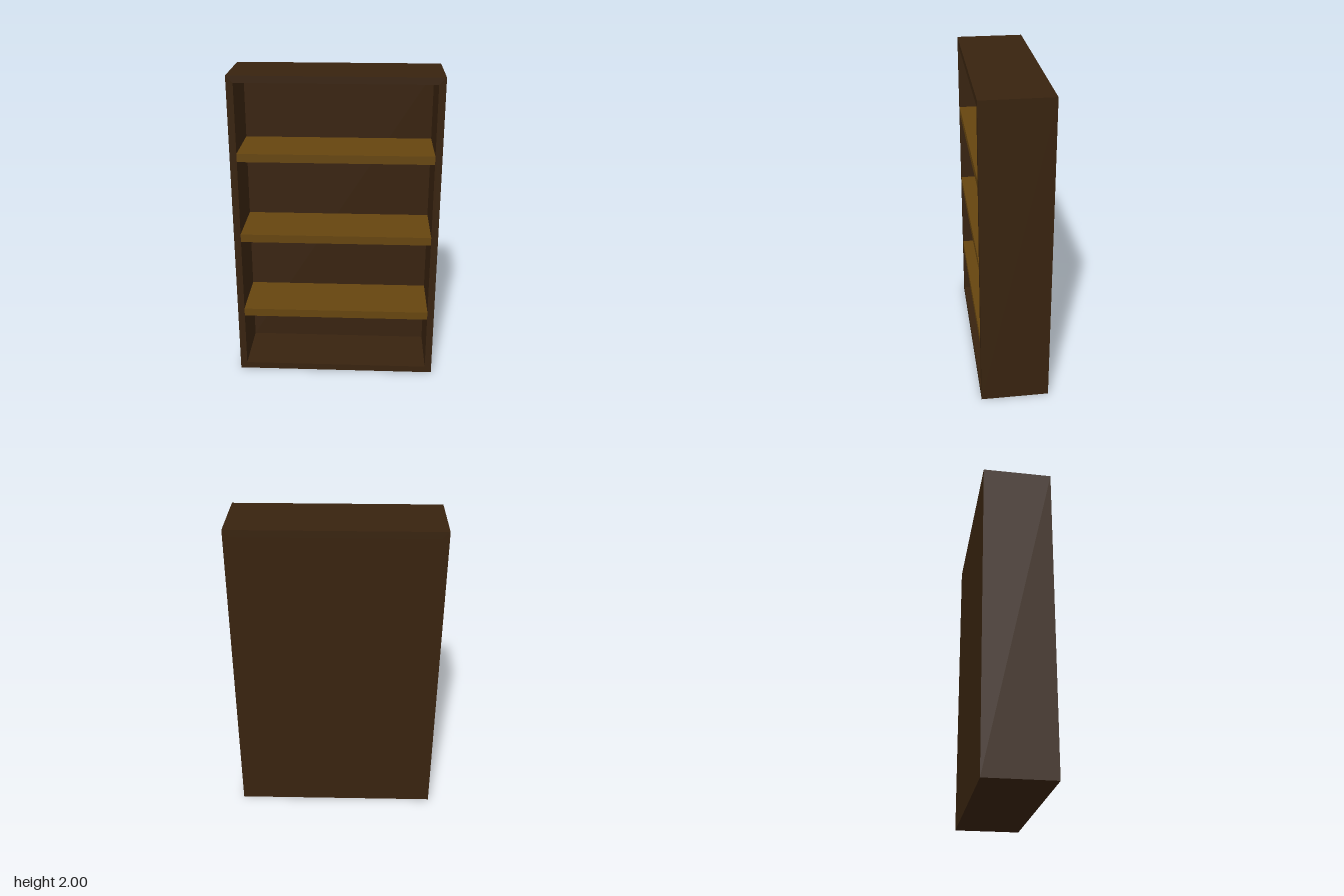
import * as THREE from 'three';

const W = 1.29, H = 2, D = 0.43, T = 0.043; // outer size and board thickness

export function createModel() {
  const model = new THREE.Group();
  model.name = 'bookcase';

  const darkWood = new THREE.MeshStandardMaterial({ color: 0x38230f });
  darkWood.name = 'darkWood';
  const shelfWood = new THREE.MeshStandardMaterial({ color: 0x66450f });
  shelfWood.name = 'shelfWood';

  const board = (name, material, w, h, d, x, y, z) => {
    const mesh = new THREE.Mesh(new THREE.BoxGeometry(w, h, d), material);
    mesh.name = name;
    mesh.position.set(x, y, z);
    model.add(mesh);
  };

  // Carcass: one frame extruded from back panel to front edge
  const frame = new THREE.Shape([[-1, 0], [1, 0], [1, 1], [-1, 1]]
    .map(([x, y]) => new THREE.Vector2(x * W / 2, y * H)));
  const x = W / 2 - T;
  frame.holes.push(new THREE.Path([[-x, T], [-x, H - T], [x, H - T], [x, T]]
    .map(([px, py]) => new THREE.Vector2(px, py))));
  const carcass = new THREE.Mesh(
    new THREE.ExtrudeGeometry(frame, { depth: D, bevelEnabled: false }), darkWood);
  carcass.name = 'carcass';
  carcass.position.z = -D / 2;
  model.add(carcass);

  // Back panel set inside the frame
  board('backPanel', darkWood, W - 2 * T, H - 2 * T, T, 0, H / 2, -D / 2 + T / 2);

  // Three shelves, flush with the front edge
  [0.431, 0.964, 1.497].forEach((y, i) =>
    board(`shelf${i + 1}`, shelfWood, W - 2 * T, 0.052, D - T, 0, y, T / 2));

  return model;
}
